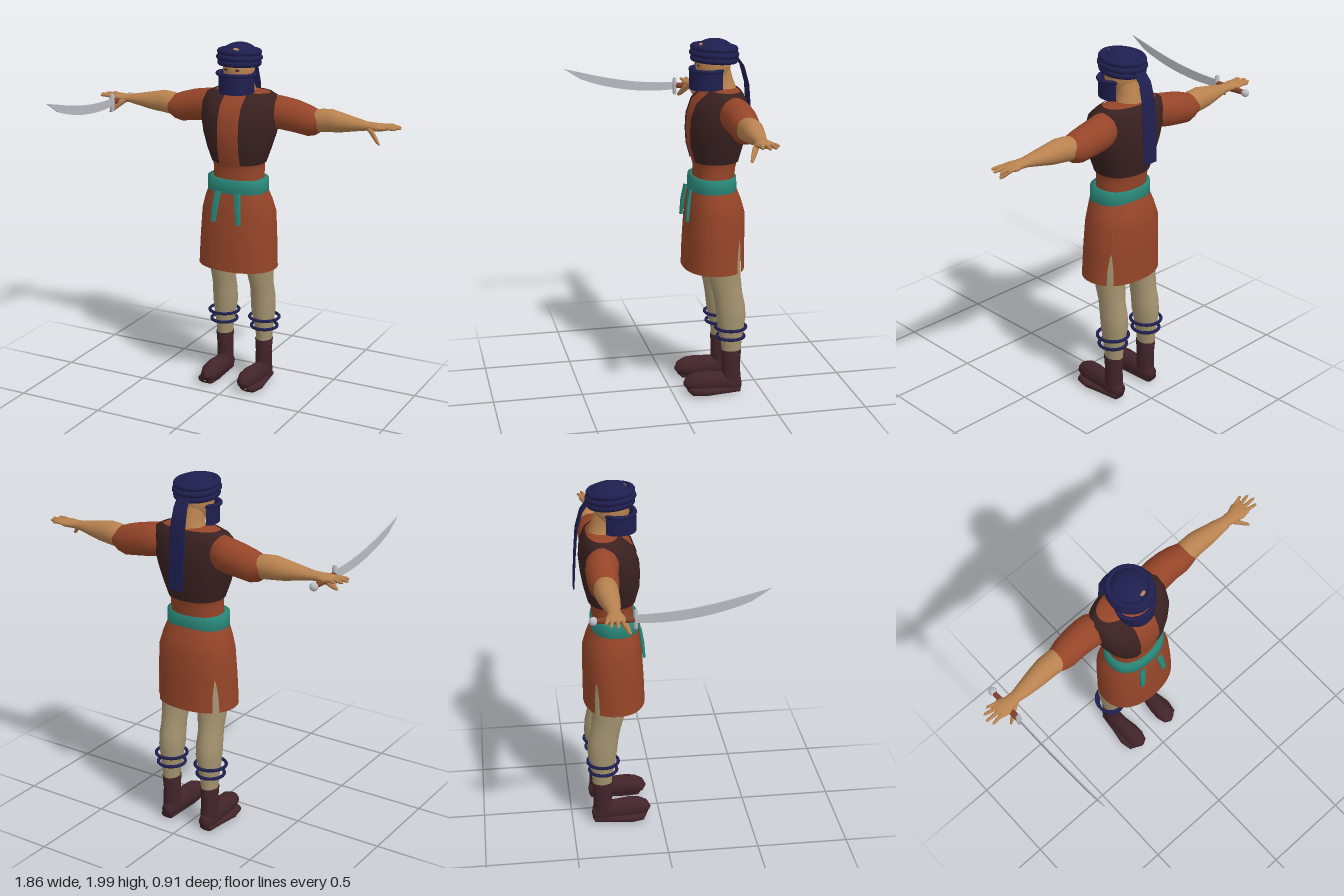
import * as THREE from 'three';
import { mergeVertices } from 'three/addons/utils/BufferGeometryUtils.js';

const paint = (name, color, side = THREE.FrontSide) => {
  const m = new THREE.MeshStandardMaterial({ color, side });
  m.name = name;
  return m;
};

export function createModel() {
  const model = new THREE.Group();
  model.name = 'swordsman';
  const rust = paint('rust cloth', 0x964529, THREE.DoubleSide);
  const brown = paint('dark brown leather', 0x3a2221, THREE.DoubleSide);
  const skin = paint('skin', 0xb8824f);
  const leggings = paint('khaki leggings', 0xa59470);
  const teal = paint('teal sash', 0x2a887a);
  const navy = paint('navy cloth', 0x1f1f50, THREE.DoubleSide);
  const bootBrown = paint('boot brown', 0x412429);
  const steel = paint('steel', 0xb9bcc2);
  const hilt = paint('hilt', 0x80402a);

  const add = (parent, name, geometry, material) => {
    const mesh = new THREE.Mesh(geometry, material);
    mesh.name = name;
    parent.add(mesh);
    return mesh;
  };

  // Skin of elliptical sections [position, centreA, radiusA, centreB, radiusB] along an axis.
  // power > 2 squares the section; arc(section) gives start and end angles, 0 being the front.
  function loft(axis, sections, { n = 28, power = 2, arc = null } = {}) {
    const pos = [], index = [];
    const bend = v => Math.sign(v) * Math.abs(v) ** (2 / power);
    sections.forEach((s, i) => {
      const [p, ca, ra, cb, rb] = s;
      const [t0, t1] = arc ? arc(s) : [-Math.PI, Math.PI];
      for (let j = 0; j <= n; j++) {
        const t = t0 + (t1 - t0) * j / n;
        const a = ra * bend(Math.sin(t)), b = rb * bend(Math.cos(t));
        if (axis === 'y') pos.push(ca + a, p, cb + b);
        else if (axis === 'x') pos.push(p, ca - a, cb + b);
        else pos.push(ca + a, cb - b, p);
        if (i && j) {
          const d = i * (n + 1) + j, c = d - 1, b1 = d - n - 1, a1 = b1 - 1;
          index.push(a1, b1, d, a1, d, c);
        }
      }
    });
    let g = new THREE.BufferGeometry();
    g.setAttribute('position', new THREE.Float32BufferAttribute(pos, 3));
    g.setIndex(index);
    if (!arc) g = mergeVertices(g, 1e-5);
    g.computeVertexNormals();
    return g;
  }

  // Flat elliptical hoop of round section, optionally tilted down at the back
  function hoop(x, y, z, rx, rz, tube, tilt = 0) {
    const pts = Array.from({ length: 24 }, (_, i) => {
      const t = i / 24 * Math.PI * 2;
      return new THREE.Vector3(x + rx * Math.sin(t), y + tilt * Math.cos(t), z + rz * Math.cos(t));
    });
    return new THREE.TubeGeometry(new THREE.CatmullRomCurve3(pts, true), 48, tube, 10, true);
  }

  function ball(parent, name, material, p, r) {
    const mesh = add(parent, name, new THREE.SphereGeometry(1, 28, 18), material);
    mesh.position.set(...p);
    mesh.scale.set(...r);
  }

  // Torso: shirt, with a vest shell open down the front
  const torso = [
    [1.22, 0, .145, -.243, .112], [1.30, 0, .145, -.25, .112], [1.335, 0, .145, -.25, .122],
    [1.42, 0, .175, -.25, .144], [1.5, 0, .2, -.255, .153], [1.58, 0, .217, -.262, .154],
    [1.66, 0, .217, -.274, .136], [1.705, 0, .205, -.29, .1], [1.727, 0, .16, -.295, .08],
    [1.735, 0, .06, -.295, .06],
  ];
  add(model, 'shirt', loft('y', torso, { n: 40, power: 2.3 }), rust);
  const vest = torso.slice(2, 9).map(([y, x, rx, z, rz]) => [y + .002, x, rx + .008, z, rz + .007]);
  const opening = s => {
    const a = Math.asin(Math.min(1, (.064 / s[2]) ** 1.15));
    return [a, 2 * Math.PI - a];
  };
  add(model, 'vest', loft('y', vest, { n: 48, power: 2.3, arc: opening }), brown);

  // Skirt: front and back panels that part into a slit on each side; last number is the slit half angle
  const skirt = [
    [.73, 0, .23, -.245, .17, .1], [.82, 0, .226, -.246, .169, .09], [.9, 0, .223, -.248, .167, .03],
    [.92, 0, .222, -.249, .167, 0], [1.05, 0, .214, -.252, .162, 0], [1.12, 0, .195, -.246, .148, 0],
    [1.2, 0, .165, -.238, .124, 0],
  ];
  const slit = 2.22;
  add(model, 'skirtFront', loft('y', skirt, { n: 40, power: 2.2, arc: s => [s[5] - slit, slit - s[5]] }), rust);
  add(model, 'skirtBack', loft('y', skirt, {
    n: 20, power: 2.2, arc: s => [slit + s[5], 2 * Math.PI - slit - s[5]] }), rust);

  // Belt and its two hanging ends
  add(model, 'belt', loft('y', [
    [1.178, 0, .155, -.238, .11], [1.175, 0, .174, -.238, .13], [1.25, 0, .174, -.238, .128],
    [1.25, 0, .14, -.238, .1],
  ], { n: 36, power: 2.3 }), teal);
  for (const s of [-1, 1]) {
    add(model, 'beltEnd', loft('y', [
      [1.01, s * .078, .002, -.082, .002], [1.012, s * .078, .014, -.083, .008],
      [1.1, s * .069, .018, -.09, .01], [1.19, s * .058, .02, -.104, .008],
    ], { n: 12, power: 4 }), teal);
  }

  // Neck, head and eyes
  add(model, 'neck', loft('y', [
    [1.69, 0, .1, -.3, .075], [1.74, 0, .068, -.295, .07], [1.79, 0, .062, -.28, .066],
    [1.88, 0, .065, -.255, .068],
  ]), skin);
  ball(model, 'head', skin, [0, 1.86, -.24], [.085, .115, .095]);
  for (const s of [-1, 1]) ball(model, 'eye', bootBrown, [s * .033, 1.862, -.152], [.014, .006, .005]);

  // Turban with a patch of bare forehead, face cloth and tail
  ball(model, 'turbanCrown', navy, [0, 1.925, -.247], [.105, .075, .112]);
  ball(model, 'forehead', skin, [.01, 1.965, -.18], [.035, .016, .022]);
  [[1.95, .103, .112], [1.92, .108, .118], [1.89, .102, .112]].forEach(([y, rx, rz]) =>
    add(model, 'turbanWrap', hoop(0, y, -.246, rx, rz, .018, .008), navy));
  add(model, 'faceCloth', loft('y', [
    [1.73, 0, .094, -.212, .1], [1.8, 0, .096, -.212, .1], [1.845, 0, .098, -.212, .1],
  ], { arc: () => [-2.25, 2.25], power: 2.2 }), navy);
  add(model, 'faceClothBand', hoop(0, 1.835, -.207, .105, .088, .011), navy);
  add(model, 'turbanTail', loft('y', [
    [1.42, -.005, .046, -.452, .004], [1.6, -.005, .049, -.442, .005], [1.75, -.005, .047, -.43, .006],
    [1.85, -.005, .042, -.402, .007], [1.92, 0, .036, -.35, .008],
  ], { n: 16, power: 3 }), navy);

  // Arms and legs, built on the model's left and mirrored
  for (const side of [1, -1]) {
    const arm = new THREE.Group();
    arm.name = side > 0 ? 'leftArm' : 'rightArm';
    arm.scale.x = side;
    model.add(arm);
    add(arm, 'sleeve', loft('x', [
      [.15, 1.625, .075, -.3, .07], [.2, 1.622, .092, -.31, .088], [.25, 1.615, .092, -.318, .087],
      [.32, 1.605, .09, -.322, .083], [.39, 1.59, .085, -.32, .079], [.43, 1.587, .073, -.318, .069],
      [.46, 1.592, .057, -.317, .063],
    ]), rust);
    add(arm, 'forearm', loft('x', [
      [.4, 1.595, .055, -.318, .058], [.46, 1.599, .064, -.318, .062], [.52, 1.605, .063, -.318, .061],
      [.58, 1.602, .054, -.314, .056], [.66, 1.602, .038, -.308, .045], [.73, 1.602, .025, -.304, .033],
      [.77, 1.602, .023, -.302, .036], [.81, 1.603, .021, -.304, .05], [.85, 1.606, .014, -.305, .046],
      [.862, 1.607, .003, -.305, .035],
    ]), skin);
    // Base z, tip x and tip z of each finger
    [[-.34, .885, -.355], [-.319, .918, -.334], [-.298, .93, -.301], [-.276, .915, -.268]].forEach(([z, tx, tz]) =>
      add(arm, 'finger', loft('x', [
        [.825, 1.606, .011, z, .012], [(.825 + tx) / 2, 1.61, .01, (z + tz) / 2, .01],
        [tx - .012, 1.609, .008, tz, .008], [tx, 1.607, .001, tz, .001],
      ], { n: 10 }), skin));
    add(arm, 'thumb', loft('x', [
      [.745, 1.598, .015, -.285, .015], [.785, 1.572, .021, -.262, .016], [.812, 1.545, .017, -.245, .012],
      [.83, 1.53, .009, -.236, .009], [.836, 1.526, .001, -.235, .001],
    ], { n: 12 }), skin);

    const leg = new THREE.Group();
    leg.name = side > 0 ? 'leftLeg' : 'rightLeg';
    leg.scale.x = side;
    model.add(leg);
    add(leg, 'legging', loft('y', [
      [.24, .127, .044, -.328, .054], [.3, .127, .047, -.328, .057], [.37, .125, .057, -.326, .069],
      [.46, .122, .068, -.325, .083], [.53, .122, .068, -.318, .084], [.6, .121, .064, -.304, .083],
      [.68, .118, .073, -.288, .09], [.8, .113, .083, -.28, .097], [1, .1, .09, -.26, .11],
    ]), leggings);
    add(leg, 'upperAnklet', hoop(.13, .4, -.322, .085, .085, .009), navy);
    add(leg, 'lowerAnklet', hoop(.13, .345, -.322, .074, .076, .009), navy);
    add(leg, 'bootShaft', loft('y', [
      [.04, .126, .046, -.33, .054], [.12, .126, .047, -.328, .054], [.19, .126, .045, -.327, .053],
      [.264, .127, .05, -.327, .058], [.266, .127, .035, -.327, .045],
    ]), bootBrown);
    add(leg, 'bootFoot', loft('z', [
      [-.39, .125, .004, .06, .008], [-.382, .125, .034, .06, .04], [-.34, .126, .048, .068, .056],
      [-.26, .124, .045, .072, .06], [-.18, .12, .054, .076, .062], [-.12, .118, .053, .078, .055],
      [-.075, .117, .038, .075, .036], [-.055, .117, .004, .072, .004],
    ]), bootBrown);
    add(leg, 'bootSole', loft('z', [
      [-.386, .13, .004, .03, .004], [-.375, .13, .038, .03, .02], [-.26, .135, .047, .03, .022],
      [-.17, .14, .058, .032, .024], [-.1, .135, .05, .036, .024], [-.075, .13, .004, .038, .004],
    ], { power: 2.6 }), bootBrown);
  }

  // Curved sword held in the right hand
  const sword = new THREE.Group();
  sword.name = 'sword';
  sword.position.x = -.797;
  model.add(sword);
  const edge = new THREE.Shape();
  edge.moveTo(-.2, 1.568);
  edge.bezierCurveTo(.02, 1.552, .22, 1.595, .36, 1.652);
  edge.lineTo(.455, 1.715);
  edge.bezierCurveTo(.25, 1.665, .08, 1.61, -.2, 1.612);
  const blade = new THREE.ExtrudeGeometry(edge, { depth: .006, bevelEnabled: false, curveSegments: 16 });
  blade.translate(0, 0, -.003).rotateY(-Math.PI / 2);
  add(sword, 'blade', blade, steel);
  add(sword, 'guard', loft('y', [
    [1.535, 0, .002, -.205, .002], [1.54, 0, .013, -.205, .01], [1.59, 0, .016, -.205, .013],
    [1.635, 0, .013, -.205, .01], [1.64, 0, .002, -.205, .002],
  ], { n: 16 }), steel);
  add(sword, 'grip', loft('z', [
    [-.4, 0, .013, 1.588, .014], [-.3, 0, .017, 1.588, .018], [-.2, 0, .015, 1.59, .016],
  ], { n: 16 }), hilt);
  ball(sword, 'pommel', steel, [0, 1.588, -.41], [.022, .022, .022]);

  return model;
}
